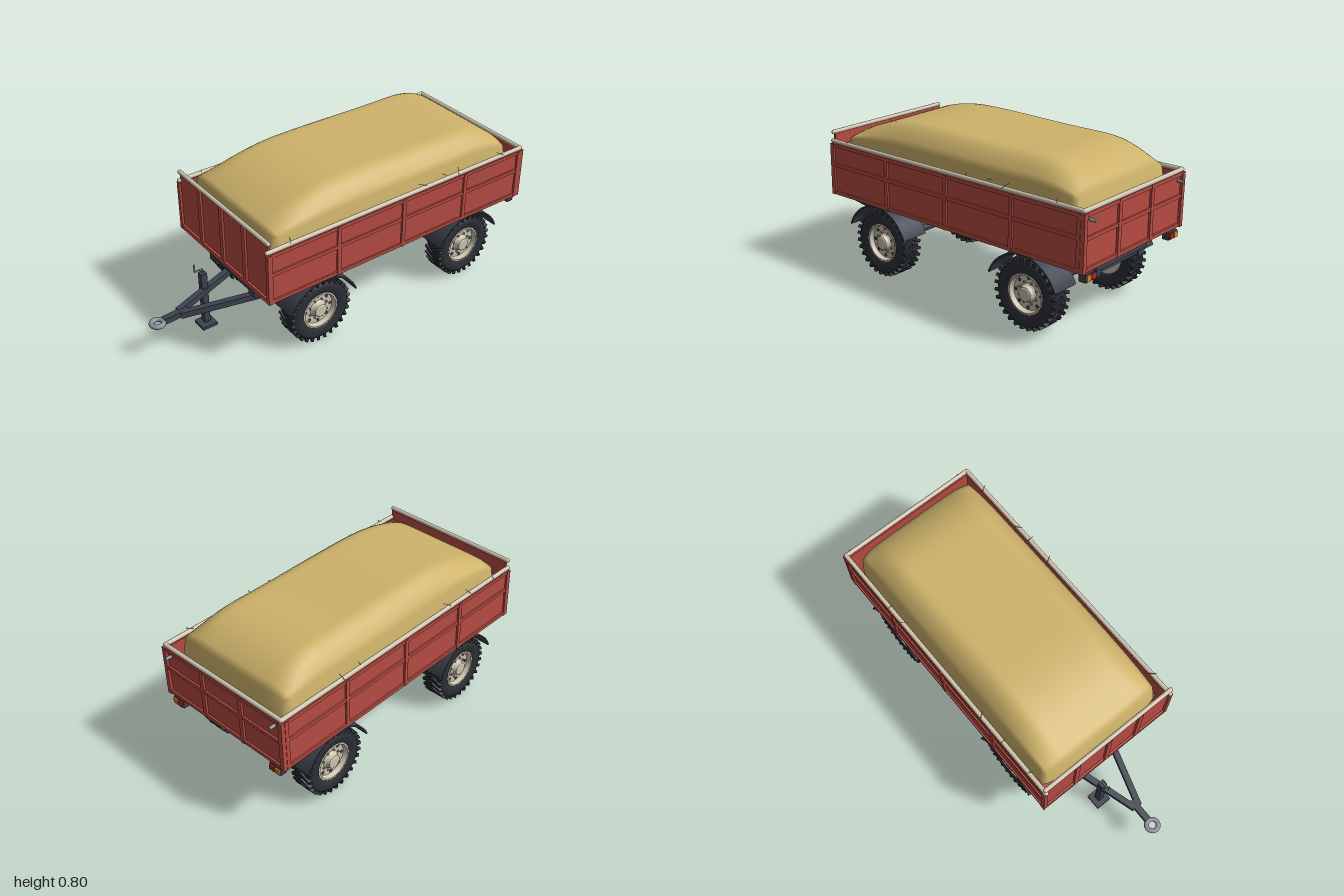
import * as THREE from 'three';
import { mergeGeometries, toCreasedNormals } from 'three/addons/utils/BufferGeometryUtils.js';

const material = (name, color, side = THREE.FrontSide) => {
  const m = new THREE.MeshStandardMaterial({ color, side });
  m.name = name;
  return m;
};

export function createModel() {
  const model = new THREE.Group();
  model.name = 'farmTrailer';
  const red = material('red paint', 0xb84c43);
  const cream = material('cream', 0xcfc6b1);
  const steel = material('dark steel', 0x3c434e);
  const grey = material('light steel', 0x8c919c);
  const rubber = material('rubber', 0x2c3036);
  const grain = material('grain', 0xcdb26a, THREE.DoubleSide);
  const amber = material('amber lamp', 0xd9822b);
  const lampRed = material('red lamp', 0xb3261e);

  const add = (name, geo, mat, x = 0, y = 0, z = 0, parent = model) => {
    const m = new THREE.Mesh(geo, mat);
    m.name = name;
    m.position.set(x, y, z);
    parent.add(m);
    return m;
  };
  // Box given by its limits on each axis
  const box = (name, mat, x0, x1, y0, y1, z0, z1) =>
    add(name, new THREE.BoxGeometry(x1 - x0, y1 - y0, z1 - z0), mat, (x0 + x1) / 2, (y0 + y1) / 2, (z0 + z1) / 2);
  // Same box on both sides
  const pair = (name, mat, x0, x1, ...rest) => {
    box(name, mat, x0, x1, ...rest);
    box(name, mat, -x1, -x0, ...rest);
  };
  // Round bar, or box beam when h is given, between two points
  const bar = (name, mat, a, b, w, h) => {
    const p = new THREE.Vector3(...a), q = new THREE.Vector3(...b), len = p.distanceTo(q);
    const geo = h ? new THREE.BoxGeometry(w, h, len) : new THREE.CylinderGeometry(w, w, len, 14).rotateX(Math.PI / 2);
    const m = add(name, geo, mat);
    m.position.copy(p).add(q).multiplyScalar(0.5);
    m.lookAt(q);
    return m;
  };

  // Cargo box: floor and four walls
  box('floor', red, -0.375, 0.375, 0.378, 0.395, -0.955, 0.58);
  pair('sideWall', red, 0.366, 0.382, 0.378, 0.645, -0.955, 0.575);
  box('frontWall', red, -0.375, 0.375, 0.378, 0.695, 0.565, 0.578);
  box('rearWall', red, -0.375, 0.375, 0.378, 0.645, -0.962, -0.948);

  // Side ribs
  for (const z of [0.575, 0.196, -0.19, -0.58, -0.945])
    pair('sideRib', red, 0.38, 0.392, 0.378, 0.643, z - 0.01, z + 0.01);
  for (const y of [0.388, 0.535, 0.637])
    pair('sideRail', red, 0.38, 0.39, y - 0.009, y + 0.009, -0.955, 0.58);

  // Front ribs
  for (const x of [-0.19, 0, 0.19])
    box('frontRib', red, x - 0.013, x + 0.013, 0.378, 0.69, 0.576, 0.589);
  pair('frontCornerPost', red, 0.372, 0.392, 0.378, 0.643, 0.568, 0.59);
  box('frontSill', red, -0.392, 0.392, 0.378, 0.402, 0.57, 0.589);

  // Rear ribs
  for (const x of [-0.125, 0.125])
    box('rearRib', red, x - 0.011, x + 0.011, 0.378, 0.645, -0.973, -0.96);
  for (const y of [0.389, 0.53, 0.637])
    box('rearRail', red, -0.375, 0.375, y - 0.009, y + 0.009, -0.971, -0.96);
  pair('rearCornerPost', red, 0.368, 0.39, 0.378, 0.645, -0.975, -0.945);

  // Cream top rails with rounded ends
  const topRail = (a, b, r) => {
    bar('topRail', cream, a, b, r);
    for (const p of [a, b]) add('railEnd', new THREE.SphereGeometry(r, 12, 8), cream, ...p);
  };
  topRail([-0.378, 0.701, 0.577], [0.378, 0.701, 0.577], 0.011);
  topRail([-0.375, 0.655, -0.962], [0.375, 0.655, -0.962], 0.011);
  for (const s of [-1, 1]) {
    topRail([s * 0.377, 0.655, -0.962], [s * 0.377, 0.655, 0.583], 0.011);
    bar('tailgateLatch', grey, [s * 0.34, 0.61, -0.965], [s * 0.34, 0.61, -0.996], 0.008);
  }

  // Heaped grain: a grid raised by the distance to its edges
  const heap = new THREE.PlaneGeometry(2, 2, 36, 56).rotateX(-Math.PI / 2);
  const hp = heap.attributes.position;
  const ramp = (d, w, p) => 1 - Math.pow(1 - Math.min(1, d / w), p);
  for (let i = 0; i < hp.count; i++) {
    const u = hp.getX(i), v = hp.getZ(i), edge = Math.max(Math.abs(u), Math.abs(v)) > 0.999;
    const corner = 1 - 0.035 * Math.pow(Math.abs(u * v), 6);
    const x = u * 0.357 * corner, z = -0.187 + v * 0.737 * corner;
    const dx = Math.max(0, 0.357 * (1 - Math.abs(u))), dz = Math.max(0, 0.737 * (1 - Math.abs(v)));
    const rise = ramp(dx, 0.14, 2) * ramp(dz, v > 0 ? 0.5 : 0.34, 2.5);
    const wave = 0.004 * Math.sin(z * 6 + 1.5) - 0.012 * x;
    hp.setXYZ(i, x, edge ? 0.56 : 0.668 + rise * (0.132 + wave), z);
  }
  heap.computeVertexNormals();
  add('grainHeap', heap, grain);

  // Loose straws along the side rails
  const stalks = [[-1, 0.47], [-1, 0.27], [-1, 0.1], [-1, -0.48], [-1, -0.6], [1, 0.45], [1, -0.3], [1, -0.45], [1, -0.55], [1, -0.81]];
  stalks.forEach(([s, z], i) =>
    bar('straw', grain, [s * 0.36, 0.672 + 0.004 * (i % 3), z], [s * 0.392, 0.66 + 0.008 * (i % 4), z + 0.02 * (i % 3 - 1)], 0.0015));

  // Chassis ladder frame
  pair('chassisRail', steel, 0.15, 0.195, 0.285, 0.342, -0.88, 0.53);
  for (const z of [0.52, -0.875]) {
    pair('railCap', steel, 0.147, 0.199, 0.278, 0.342, z - 0.025, z + 0.025);
    pair('bodyMount', steel, 0.152, 0.194, 0.34, 0.378, z - 0.022, z + 0.022);
  }
  for (const z of [0.52, 0.276, -0.12, -0.875])
    box('crossMember', steel, -0.16, 0.16, 0.291, 0.336, z - 0.02, z + 0.02);
  for (const z of [0.05, -0.4]) pair('bodyMount', steel, 0.155, 0.19, 0.34, 0.38, z - 0.02, z + 0.02);
  add('pivotBase', new THREE.CylinderGeometry(0.034, 0.034, 0.018, 20), steel, 0, 0.343, 0.5);
  add('pivotPin', new THREE.CylinderGeometry(0.026, 0.026, 0.034, 20), grey, 0, 0.363, 0.5);

  // Turntable over the steering axle
  add('turntable', new THREE.CylinderGeometry(0.157, 0.157, 0.042, 40), grey, 0, 0.255, 0.276);
  add('turntableUnderside', new THREE.CylinderGeometry(0.135, 0.135, 0.01, 32), steel, 0, 0.232, 0.276);

  // Wheel shapes, turning about local y
  const lathe = (pts, n, crease) =>
    toCreasedNormals(new THREE.LatheGeometry(pts.map(p => new THREE.Vector2(...p)), n), crease);
  const tyreGeo = lathe([[0.094, -0.044], [0.106, -0.052], [0.138, -0.055], [0.154, -0.051], [0.163, -0.04], [0.165, 0],
    [0.163, 0.04], [0.154, 0.051], [0.138, 0.055], [0.106, 0.052], [0.094, 0.044]], 40, 0.7);
  const rimGeo = lathe([[0, -0.042], [0.098, -0.042], [0.098, 0.047], [0.09, 0.048], [0.083, 0.024], [0.046, 0.024],
    [0.038, 0.032], [0.034, 0.05], [0.028, 0.054], [0, 0.054]], 36, 0.5);
  const treadGeo = dir => {
    const parts = [];
    for (let i = 0; i < 28; i++) for (const h of [-1, 1]) {
      const g = new THREE.BoxGeometry(0.02, 0.061, 0.015);
      g.rotateX(h * dir * 0.5).translate(0.161, h * 0.027, (h > 0 ? 0.003 : -0.003));
      parts.push(g.rotateY((i / 28) * Math.PI * 2));
    }
    return mergeGeometries(parts);
  };

  // Mudguard arc
  const arc = new THREE.Shape();
  arc.absarc(0, 0, 0.203, 0.35, Math.PI - 0.35, false);
  arc.absarc(0, 0, 0.196, Math.PI - 0.35, 0.35, true);
  const guardGeo = toCreasedNormals(new THREE.ExtrudeGeometry(arc, { depth: 0.15, bevelEnabled: false, curveSegments: 24 })
    .translate(0, 0, -0.075).rotateY(Math.PI / 2), 0.5);

  // Axles with wheels, springs and mudguards
  for (const z of [0.276, -0.64]) {
    bar('axle', steel, [-0.27, 0.177, z], [0.27, 0.177, z], 0.02);
    pair('springBlock', grey, 0.154, 0.19, 0.194, 0.288, z - 0.05, z + 0.05);
    for (const s of [-1, 1]) {
      const wheel = new THREE.Group();
      wheel.name = 'wheel';
      wheel.position.set(s * 0.305, 0.178, z);
      wheel.rotation.z = -s * Math.PI / 2;
      model.add(wheel);
      add('tyre', tyreGeo, rubber, 0, 0, 0, wheel);
      add('tread', treadGeo(s), rubber, 0, 0, 0, wheel);
      add('rim', rimGeo, cream, 0, 0, 0, wheel);
      for (let i = 0; i < 8; i++) {
        const a = (i / 8) * Math.PI * 2, b = a + Math.PI / 8;
        add('rimHole', new THREE.CylinderGeometry(0.009, 0.009, 0.004, 12), steel, 0.071 * Math.cos(a), 0.024, 0.071 * Math.sin(a), wheel);
        add('wheelNut', new THREE.CylinderGeometry(0.005, 0.005, 0.01, 6), grey, 0.053 * Math.cos(b), 0.027, 0.053 * Math.sin(b), wheel);
      }
      add('mudguard', guardGeo, steel, s * 0.31, 0.176, z);
    }
  }

  // A-shaped drawbar with towing eye
  for (const s of [-1, 1]) bar('drawbarArm', steel, [s * 0.158, 0.232, 0.37], [s * 0.012, 0.205, 0.84], 0.03, 0.032);
  bar('drawbarTongue', steel, [0, 0.206, 0.8], [0, 0.2, 0.925], 0.032, 0.03);
  const eye = add('towingEye', new THREE.TorusGeometry(0.029, 0.012, 12, 28), grey, 0, 0.2, 0.957);
  eye.rotation.x = Math.PI / 2;

  // Parking jack with crank
  const jx = -0.077, jz = 0.66;
  box('jackColumn', steel, jx - 0.016, jx + 0.016, 0.03, 0.315, jz - 0.016, jz + 0.016);
  box('jackFoot', steel, jx - 0.041, jx + 0.041, 0.004, 0.02, jz - 0.041, jz + 0.041);
  bar('jackLeg', steel, [jx, 0.015, jz], [jx, 0.05, jz], 0.012);
  const crank = [[jx, 0.31, jz], [jx, 0.337, jz], [jx, 0.337, jz + 0.042], [jx, 0.378, jz + 0.042]];
  for (let i = 0; i < 3; i++) bar('jackCrank', grey, crank[i], crank[i + 1], 0.004);

  // Rear lamps on a crossbar
  box('lampBar', steel, -0.2, 0.2, 0.315, 0.345, -0.91, -0.885);
  for (const s of [-1, 1]) {
    box('lampHousing', steel, s * 0.325 - 0.035, s * 0.325 + 0.035, 0.33, 0.368, -0.968, -0.932);
    box('lampBracket', steel, s * 0.325 - 0.01, s * 0.325 + 0.01, 0.36, 0.38, -0.955, -0.935);
    box('indicator', amber, s * 0.343 - 0.014, s * 0.343 + 0.014, 0.335, 0.363, -0.975, -0.967);
    box('tailLamp', lampRed, s * 0.309 - 0.016, s * 0.309 + 0.016, 0.335, 0.363, -0.975, -0.967);
  }
  return model;
}
